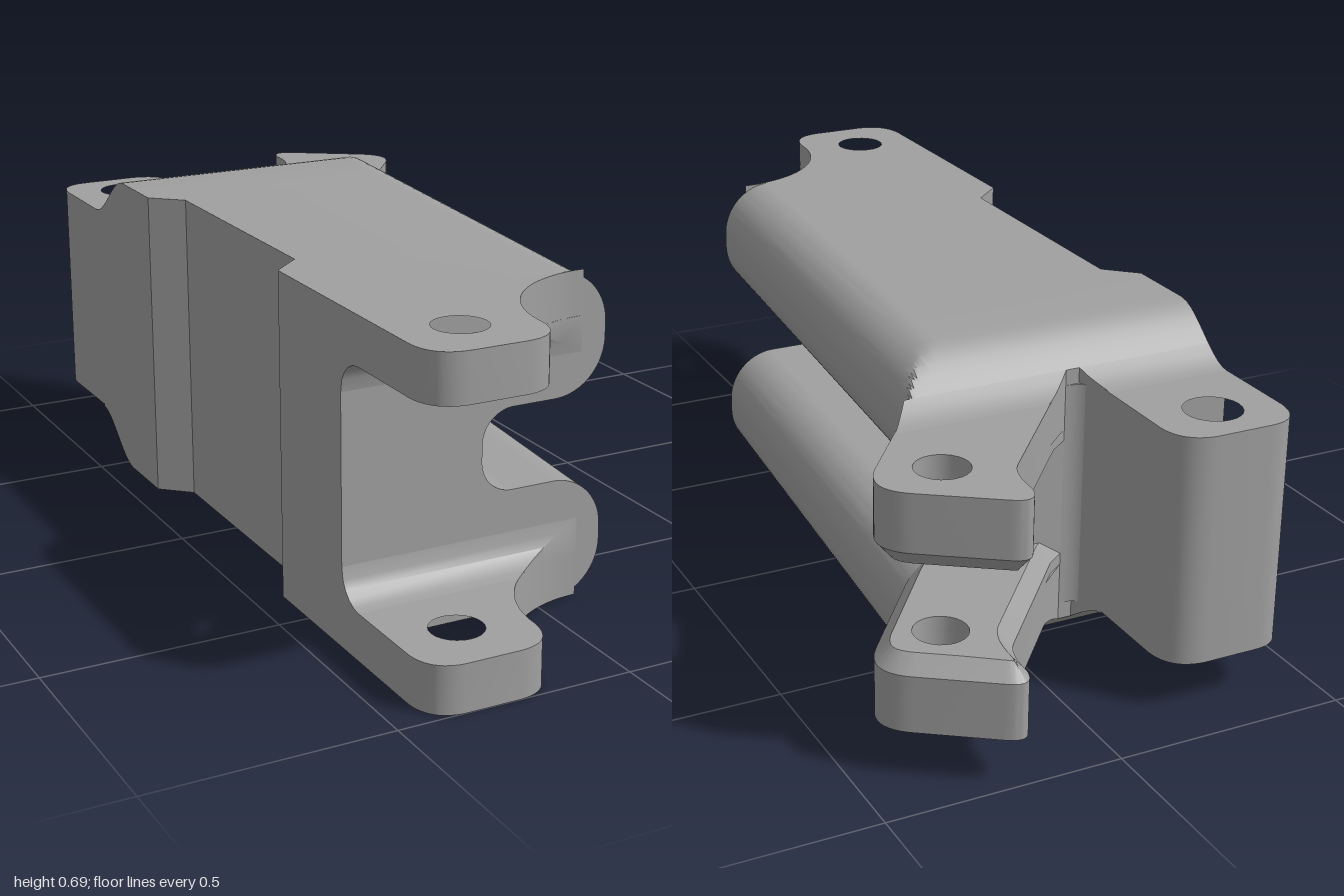
import * as THREE from 'three';
import { toCreasedNormals } from 'three/addons/utils/BufferGeometryUtils.js';

const H = 0.695, PI = Math.PI;

export function createModel() {
  const root = new THREE.Group();
  const metal = new THREE.MeshStandardMaterial({ color: 0xa0a0a0 });
  metal.name = 'grey metal';

  const add = (geo, name, parent = root) => {
    const m = new THREE.Mesh(toCreasedNormals(geo, 0.6), metal);
    m.name = name;
    parent.add(m);
    return m;
  };

  // Extrude a section along z through given stations; map moves each (x, y, z)
  const sweep = (shape, stations, map) => {
    const n = stations.length - 1;
    const g = new THREE.ExtrudeGeometry(shape, { depth: 1, steps: n, bevelEnabled: false, curveSegments: 10 });
    const p = g.attributes.position;
    for (let i = 0; i < p.count; i++) {
      const z = stations[Math.round(p.getZ(i) * n)];
      const [x, y] = map(p.getX(i), p.getY(i), z);
      p.setXYZ(i, x, y, z);
    }
    return g;
  };

  // Extrude a plan outline (drawn as x, -z) upward
  const plate = (shape, y0, y1) => {
    const g = new THREE.ExtrudeGeometry(shape, { depth: y1 - y0, bevelEnabled: false, curveSegments: 12 });
    return g.rotateX(-PI / 2).translate(0, y0, 0);
  };
  const drill = (shape, x, z, r) => {
    const h = new THREE.Path();
    h.absarc(x, -z, r, 0, 2 * PI, true);
    shape.holes.push(h);
    return shape;
  };

  // Upper surface easing down to the rear lugs
  const topAt = (z) => H - 0.1 * THREE.MathUtils.smoothstep(-0.46 - z, 0, 0.18);
  // Left side with its shallow chamfered recess
  const leftAt = (z) => (z > -0.27 && z < 0.35 ? -0.37 : -0.435);

  // Main body: C-section with rounded flanges, slanting along its length
  const c = new THREE.Shape();
  c.moveTo(-0.435, 0);
  c.lineTo(0.04, 0);
  c.absarc(0.04, 0.115, 0.115, -PI / 2, 0, false);
  c.absarc(0.04, 0.145, 0.115, 0, PI / 2, false);
  c.absarc(-0.055, 0.33, 0.07, -PI / 2, -PI, true);
  c.absarc(-0.055, 0.365, 0.07, PI, PI / 2, true);
  c.absarc(0.04, 0.55, 0.115, -PI / 2, 0, false);
  c.absarc(0.04, 0.58, 0.115, 0, PI / 2, false);
  c.lineTo(-0.435, H);
  c.closePath();
  const bodyZ = [-0.57, -0.555, -0.54, -0.52, -0.5, -0.48, -0.46, -0.3, -0.24, 0.32, 0.38, 0.65];
  add(sweep(c, bodyZ, (x, y, z) => [
    x < -0.3 ? leftAt(z) : x + 0.084 * (0.65 - z),
    Math.min(topAt(z), Math.max(H - topAt(z), y)),
  ]), 'body');

  const unit = new THREE.Shape([[0, 0], [1, 0], [1, 1], [0, 1]].map(([x, y]) => new THREE.Vector2(x, y)));
  const rearZ = [-0.64, -0.625, -0.61, -0.59, -0.57];

  // Rear tall lug and its fillet
  const tall = new THREE.Shape();
  tall.moveTo(-0.435, 0.5);
  tall.lineTo(-0.435, 0.83);
  tall.quadraticCurveTo(-0.43, 0.91, -0.36, 0.91);
  tall.lineTo(-0.24, 0.91);
  tall.quadraticCurveTo(-0.165, 0.905, -0.16, 0.83);
  tall.lineTo(-0.16, 0.63);
  tall.quadraticCurveTo(-0.155, 0.575, -0.1, 0.57);
  tall.lineTo(-0.1, 0.5);
  add(plate(drill(tall, -0.3, -0.795, 0.06), 0.105, 0.595), 'rearTallLug');
  add(sweep(unit, rearZ, (x, y, z) => [
    x ? -0.16 + 0.6 * Math.max(0, z + 0.62) : -0.435,
    y ? topAt(z) : H - topAt(z),
  ]), 'rearLugFillet');

  // Diagonal rear arm outline
  const armShape = () => {
    const s = new THREE.Shape();
    s.moveTo(0.18, 0.475);
    s.lineTo(0.25, 0.56);
    s.lineTo(0.41, 0.765);
    s.quadraticCurveTo(0.465, 0.84, 0.39, 0.89);
    s.lineTo(0.25, 0.985);
    s.quadraticCurveTo(0.2, 1.02, 0.19, 0.96);
    s.quadraticCurveTo(0.19, 0.89, 0.165, 0.86);
    s.lineTo(-0.06, 0.6);
    s.lineTo(-0.1, 0.57);
    s.lineTo(-0.1, 0.475);
    return drill(s, 0.295, -0.81, 0.055);
  };

  // Front lug outline with a concave sweep into the body
  const frontShape = () => {
    const s = new THREE.Shape();
    s.moveTo(-0.435, -0.65);
    s.lineTo(0.1, -0.65);
    s.absarc(0.1, -0.91, 0.26, PI / 2, PI, false);
    s.quadraticCurveTo(-0.165, -0.995, -0.24, -1);
    s.lineTo(-0.36, -1);
    s.quadraticCurveTo(-0.43, -0.995, -0.435, -0.92);
    s.closePath();
    return drill(s, -0.3, 0.86, 0.055);
  };

  // Upper and mirrored lower sets of arm and front lug
  for (const side of ['upper', 'lower']) {
    const half = new THREE.Group();
    half.name = side + 'Lugs';
    if (side === 'lower') {
      half.scale.y = -1;
      half.position.y = H;
    }
    root.add(half);

    add(plate(armShape(), 0.475, 0.595), 'rearArm', half);

    // Chamfered inner edge of the arm, keeping the bore straight
    const ch = new THREE.ExtrudeGeometry(armShape(), {
      depth: 0.01, curveSegments: 12, bevelEnabled: true, bevelSegments: 1,
      bevelSize: 0.03, bevelThickness: 0.035, bevelOffset: -0.03,
    }).rotateX(-PI / 2).translate(0, 0.475, 0);
    const p = ch.attributes.position;
    for (let i = 0; i < p.count; i++) {
      const dx = p.getX(i) - 0.295, dz = p.getZ(i) + 0.81, d = Math.hypot(dx, dz);
      if (d < 0.092) {
        p.setX(i, 0.295 + dx * 0.055 / d);
        p.setZ(i, -0.81 + dz * 0.055 / d);
      }
    }
    add(ch, 'rearArmChamfer', half);

    add(sweep(unit, rearZ, (x, y, z) => [
      x ? 0.25 - (z + 0.56) * 0.76 : -0.1 - (z + 0.57) * 1.1,
      y ? topAt(z) : 0.5,
    ]), 'rearArmFillet', half);

    add(plate(frontShape(), 0.595, H), 'frontLug', half);

    // Concave fillet between front lug and web
    add(sweep(unit, [0.65, 0.655, 0.665, 0.68, 0.7, 0.72], (x, y, z) => [
      x ? 0.1 - Math.sqrt(0.26 ** 2 - (0.91 - z) ** 2) : -0.435,
      y ? 0.6 : 0.525 + Math.sqrt(Math.max(0, 0.07 ** 2 - (0.72 - z) ** 2)),
    ]), 'frontLugFillet', half);
  }
  return root;
}
